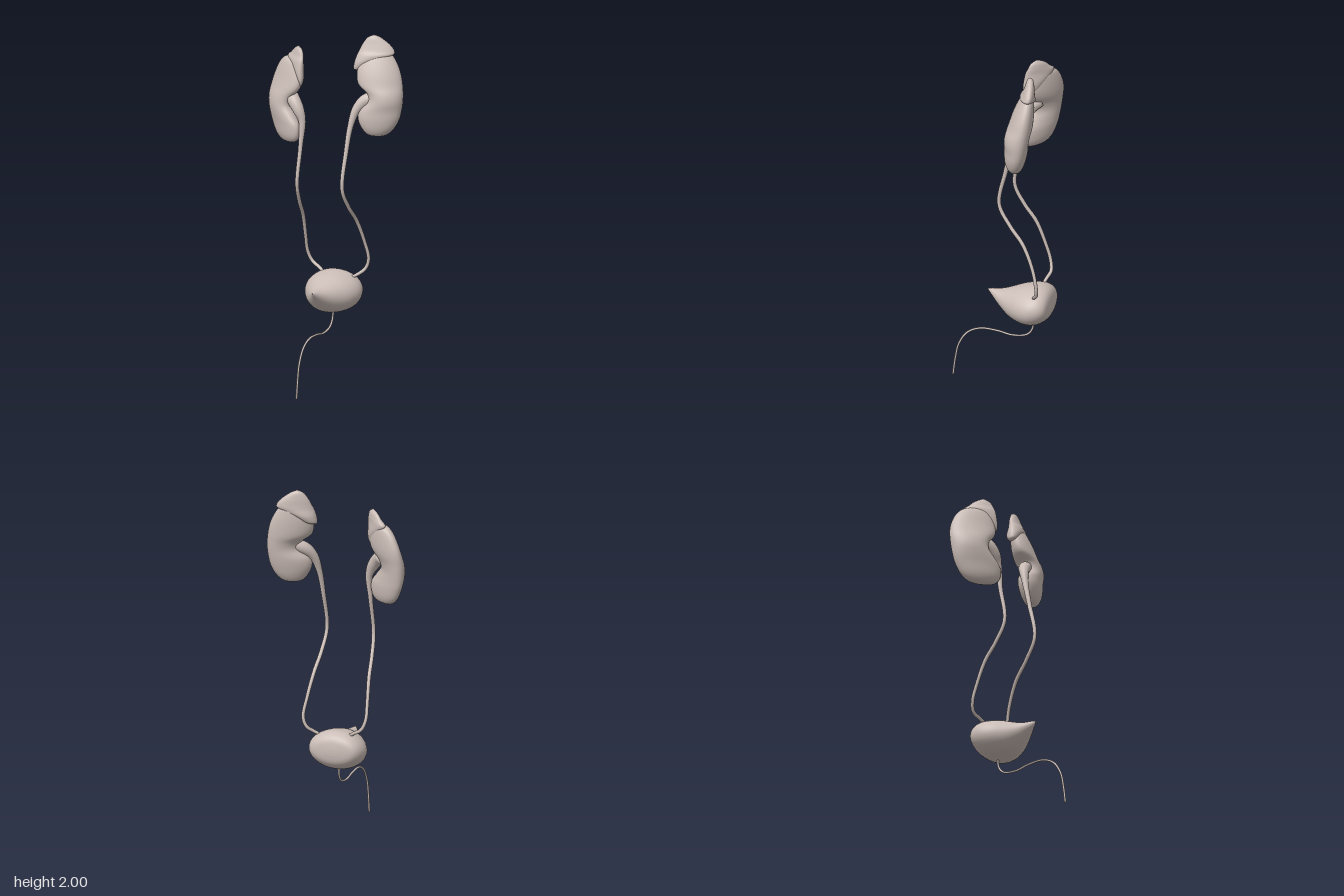
import * as THREE from 'three';

const tissue = new THREE.MeshStandardMaterial({ color: 0xcbbdb7 });
tissue.name = 'pale tissue';

// Smoothly resamples rows of numbers.
function resample(rows, count) {
  const curves = rows[0].map((_, k) => new THREE.SplineCurve(rows.map(r => new THREE.Vector2(r[k], 0))));
  return Array.from({ length: count + 1 }, (_, i) => curves.map(c => c.getPoint(i / count).x));
}

// Closed, smooth skin over a stack of rings.
function skin(rings) {
  const n = rings[0].length, pos = [], idx = [];
  rings.forEach(r => r.forEach(p => pos.push(p.x, p.y, p.z)));
  for (let i = 0; i < rings.length - 1; i++) {
    for (let j = 0; j < n; j++) {
      const a = i * n + j, b = i * n + (j + 1) % n;
      idx.push(a, b, a + n, b, b + n, a + n);
    }
  }
  [0, rings.length - 1].forEach((i, end) => {
    const c = new THREE.Vector3();
    rings[i].forEach(p => c.addScaledVector(p, 1 / n));
    const centre = pos.length / 3;
    pos.push(c.x, c.y, c.z);
    for (let j = 0; j < n; j++) {
      const a = i * n + j, b = i * n + (j + 1) % n;
      if (end) idx.push(a, b, centre); else idx.push(b, a, centre);
    }
  });
  // Turn the faces outward if the volume comes out negative.
  const v = k => new THREE.Vector3().fromArray(pos, idx[k] * 3);
  let volume = 0;
  for (let k = 0; k < idx.length; k += 3) volume += v(k).dot(v(k + 1).cross(v(k + 2)));
  if (volume < 0) idx.reverse();
  const g = new THREE.BufferGeometry();
  g.setAttribute('position', new THREE.Float32BufferAttribute(pos, 3));
  g.setIndex(idx);
  g.computeVertexNormals();
  return g;
}

function ring(fn, n = 40) {
  return Array.from({ length: n }, (_, j) => {
    const a = (j / n) * Math.PI * 2;
    return fn(Math.cos(a), Math.sin(a));
  });
}

// Upright organ; rows are [y, inner x, outer x, centre z, half depth], slope turns it in plan.
function organ(rows, slope) {
  return skin(resample(rows, 48).map(([y, a, b, z, d]) => ring((c, s) => {
    const dx = (b - a) / 2 * c;
    return new THREE.Vector3((a + b) / 2 + dx, y, z + slope * dx + Math.max(d, 0.002) * s);
  })));
}

// Tube along a path with a changing radius and closed ends; points are [x, y, z, radius].
function vessel(points, segments = 90, sides = 14) {
  const curve = new THREE.CatmullRomCurve3(points.map(p => new THREE.Vector3(p[0], p[1], p[2])));
  const frames = curve.computeFrenetFrames(segments);
  const radii = new THREE.SplineCurve(points.map(p => new THREE.Vector2(p[3], 0)));
  return skin(Array.from({ length: segments + 1 }, (_, i) => {
    const centre = curve.getPointAt(i / segments);
    const r = radii.getPoint(curve.getUtoTmapping(i / segments)).x;
    return ring((c, s) => centre.clone()
      .addScaledVector(frames.normals[i], r * c)
      .addScaledVector(frames.binormals[i], r * s), sides);
  }));
}

export function createModel() {
  const model = new THREE.Group();
  model.name = 'urinarySystem';
  const add = (name, geometry) => {
    const m = new THREE.Mesh(geometry, tissue);
    m.name = name;
    model.add(m);
  };

  // Kidneys, notched on the inner side
  add('leftKidney', organ([
    [1.44, 0.265, 0.29, -0.16, 0.004], [1.453, 0.22, 0.33, -0.162, 0.035],
    [1.49, 0.19, 0.366, -0.165, 0.055], [1.54, 0.17, 0.39, -0.17, 0.066],
    [1.59, 0.178, 0.4, -0.178, 0.07], [1.64, 0.222, 0.405, -0.186, 0.072],
    [1.685, 0.215, 0.403, -0.193, 0.072], [1.73, 0.16, 0.395, -0.2, 0.07],
    [1.79, 0.145, 0.38, -0.21, 0.063], [1.85, 0.155, 0.353, -0.222, 0.05],
    [1.9, 0.19, 0.315, -0.233, 0.032], [1.92, 0.24, 0.26, -0.235, 0.004],
  ], -0.27));
  add('rightKidney', organ([
    [1.36, -0.24, -0.27, -0.11, 0.004], [1.373, -0.187, -0.315, -0.112, 0.035],
    [1.41, -0.16, -0.352, -0.116, 0.055], [1.47, -0.16, -0.38, -0.124, 0.064],
    [1.52, -0.195, -0.394, -0.134, 0.068], [1.57, -0.23, -0.4, -0.145, 0.07],
    [1.62, -0.218, -0.4, -0.15, 0.07], [1.67, -0.175, -0.392, -0.153, 0.068],
    [1.72, -0.16, -0.378, -0.157, 0.062], [1.78, -0.168, -0.35, -0.16, 0.052],
    [1.82, -0.192, -0.315, -0.162, 0.038], [1.84, -0.235, -0.27, -0.162, 0.004],
  ], 0.55));

  // Adrenal caps
  add('leftAdrenalGland', organ([
    [1.8, 0.125, 0.145, -0.19, 0.004], [1.812, 0.118, 0.18, -0.198, 0.03],
    [1.85, 0.123, 0.24, -0.21, 0.045], [1.89, 0.135, 0.325, -0.225, 0.044],
    [1.915, 0.145, 0.333, -0.234, 0.036], [1.95, 0.16, 0.305, -0.238, 0.028],
    [1.985, 0.185, 0.258, -0.238, 0.018], [2.0, 0.215, 0.225, -0.238, 0.003],
  ], -0.27));
  add('rightAdrenalGland', organ([
    [1.69, -0.16, -0.168, -0.095, 0.004], [1.73, -0.148, -0.2, -0.108, 0.03],
    [1.78, -0.149, -0.237, -0.126, 0.042], [1.83, -0.151, -0.29, -0.148, 0.04],
    [1.86, -0.155, -0.264, -0.147, 0.03], [1.89, -0.166, -0.235, -0.143, 0.02],
    [1.91, -0.192, -0.202, -0.14, 0.003],
  ], 0.75));

  // Ureters, flaring into each kidney
  add('leftUreter', vessel([
    [0.26, 1.665, -0.18, 0.035], [0.205, 1.64, -0.155, 0.036], [0.163, 1.59, -0.128, 0.026],
    [0.14, 1.5, -0.1, 0.017], [0.13, 1.36, -0.065, 0.013], [0.124, 1.15, -0.025, 0.011],
    [0.132, 1.03, -0.09, 0.011], [0.145, 0.93, -0.17, 0.011], [0.163, 0.8, -0.23, 0.01],
    [0.176, 0.69, -0.257, 0.01], [0.158, 0.635, -0.252, 0.01], [0.125, 0.605, -0.228, 0.01],
    [0.09, 0.585, -0.215, 0.009],
  ]));
  add('rightUreter', vessel([
    [-0.25, 1.635, -0.14, 0.034], [-0.212, 1.61, -0.1, 0.038], [-0.172, 1.56, -0.08, 0.033],
    [-0.147, 1.5, -0.075, 0.021], [-0.148, 1.36, -0.058, 0.013], [-0.154, 1.15, -0.025, 0.011],
    [-0.164, 1.03, -0.078, 0.011], [-0.173, 0.93, -0.145, 0.011], [-0.182, 0.8, -0.195, 0.01],
    [-0.183, 0.7, -0.225, 0.01], [-0.16, 0.645, -0.236, 0.01], [-0.115, 0.618, -0.225, 0.01],
    [-0.08, 0.595, -0.215, 0.009],
  ]));

  // Bladder, drawn to a point in front; rows are [z, half width, bottom y, top y]
  add('bladder', skin(resample([
    [0.082, 0.003, 0.55, 0.558], [0.06, 0.018, 0.523, 0.562], [0, 0.062, 0.462, 0.566],
    [-0.06, 0.106, 0.417, 0.585], [-0.12, 0.145, 0.396, 0.606], [-0.18, 0.165, 0.39, 0.618],
    [-0.23, 0.16, 0.401, 0.62], [-0.268, 0.14, 0.427, 0.604], [-0.288, 0.105, 0.456, 0.575],
    [-0.296, 0.03, 0.495, 0.53],
  ], 44).map(([z, w, lo, hi]) => ring((c, s) =>
    new THREE.Vector3(-0.007 + w * c, (lo + hi) / 2 + (hi - lo) / 2 * s, z)))));

  // Urethra
  add('urethra', vessel([
    [-0.18, 0.41], [-0.177, 0.35], [-0.145, 0.308], [-0.06, 0.291], [0.03, 0.305],
    [0.13, 0.305], [0.205, 0.268], [0.255, 0.19], [0.275, 0.1], [0.288, 0],
  ].map(([z, y]) => [-0.007, y, z, 0.006])));

  return model;
}
